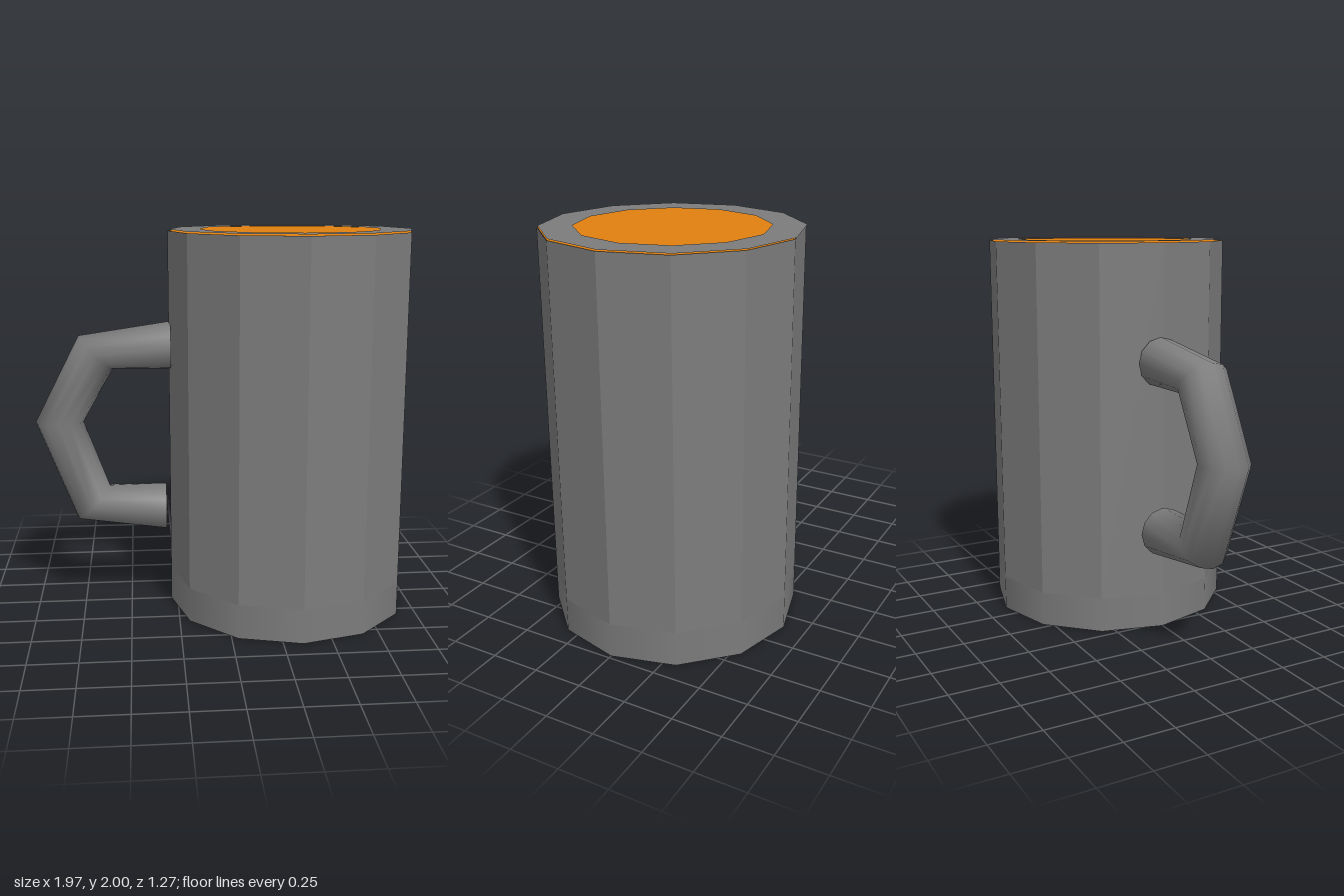
import * as THREE from 'three';

const SIDES = 12, RADIUS = 0.633, INNER = 0.47, CENTRE_X = 0.35;

// Handle: elliptical rings spanned between outer and inner outline points
function handleGeometry() {
  const outer = [[-0.275, 1.53], [-0.75, 1.46], [-0.985, 1.005], [-0.78, 0.475], [-0.305, 0.405]];
  const inner = [[-0.275, 1.28], [-0.575, 1.285], [-0.735, 1.005], [-0.605, 0.65], [-0.305, 0.655]];
  const n = 12, pos = [], index = [];
  const addRing = (k) => {
    const start = pos.length / 3;
    const [ox, oy] = outer[k], [ix, iy] = inner[k];
    for (let j = 0; j < n; j++) {
      const a = (j / n) * Math.PI * 2, c = Math.cos(a) / 2;
      pos.push((ox + ix) / 2 + (ox - ix) * c, (oy + iy) / 2 + (oy - iy) * c, -0.015 + 0.125 * Math.sin(a));
    }
    return start;
  };
  const rings = outer.map((_, k) => addRing(k));
  for (let k = 0; k < rings.length - 1; k++) {
    for (let j = 0; j < n; j++) {
      const j2 = (j + 1) % n;
      const a = rings[k] + j, b = rings[k] + j2, c = rings[k + 1] + j, d = rings[k + 1] + j2;
      index.push(a, c, b, b, c, d);
    }
  }
  // end caps use their own vertices so their edges stay sharp
  const first = addRing(0), last = addRing(outer.length - 1);
  for (let j = 1; j < n - 1; j++) {
    index.push(first, first + j, first + j + 1);
    index.push(last, last + j + 1, last + j);
  }
  const g = new THREE.BufferGeometry();
  g.setAttribute('position', new THREE.Float32BufferAttribute(pos, 3));
  g.setIndex(index);
  g.computeVertexNormals();
  return g;
}

export function createModel() {
  const group = new THREE.Group();
  group.name = 'mug';
  const grey = new THREE.MeshStandardMaterial({ name: 'mug grey', color: 0x7c7c7c });
  const orange = new THREE.MeshStandardMaterial({ name: 'drink orange', color: 0xe08010 });
  const add = (name, geometry, material, x = 0, y = 0, z = 0) => {
    const mesh = new THREE.Mesh(geometry, material);
    mesh.name = name;
    mesh.position.set(x, y, z);
    group.add(mesh);
    return mesh;
  };

  // smooth base band with floor
  add('base', new THREE.CylinderGeometry(RADIUS, RADIUS, 0.18, SIDES), grey, CENTRE_X, 0.09);

  // faceted outer wall
  const wall = new THREE.CylinderGeometry(RADIUS, RADIUS, 1.813, SIDES, 1, true).toNonIndexed();
  wall.computeVertexNormals();
  add('wall', wall, grey, CENTRE_X, 0.18 + 1.813 / 2);

  // drink surface just under the rim
  const disc = new THREE.CircleGeometry(RADIUS - 0.003, SIDES).rotateX(-Math.PI / 2);
  add('drink', disc, orange, CENTRE_X, 1.992);

  // flat rim ring
  const ring = new THREE.RingGeometry(INNER, RADIUS, SIDES).rotateX(-Math.PI / 2);
  add('rim', ring, grey, CENTRE_X, 2, -0.006);

  add('handle', handleGeometry(), grey);
  return group;
}
